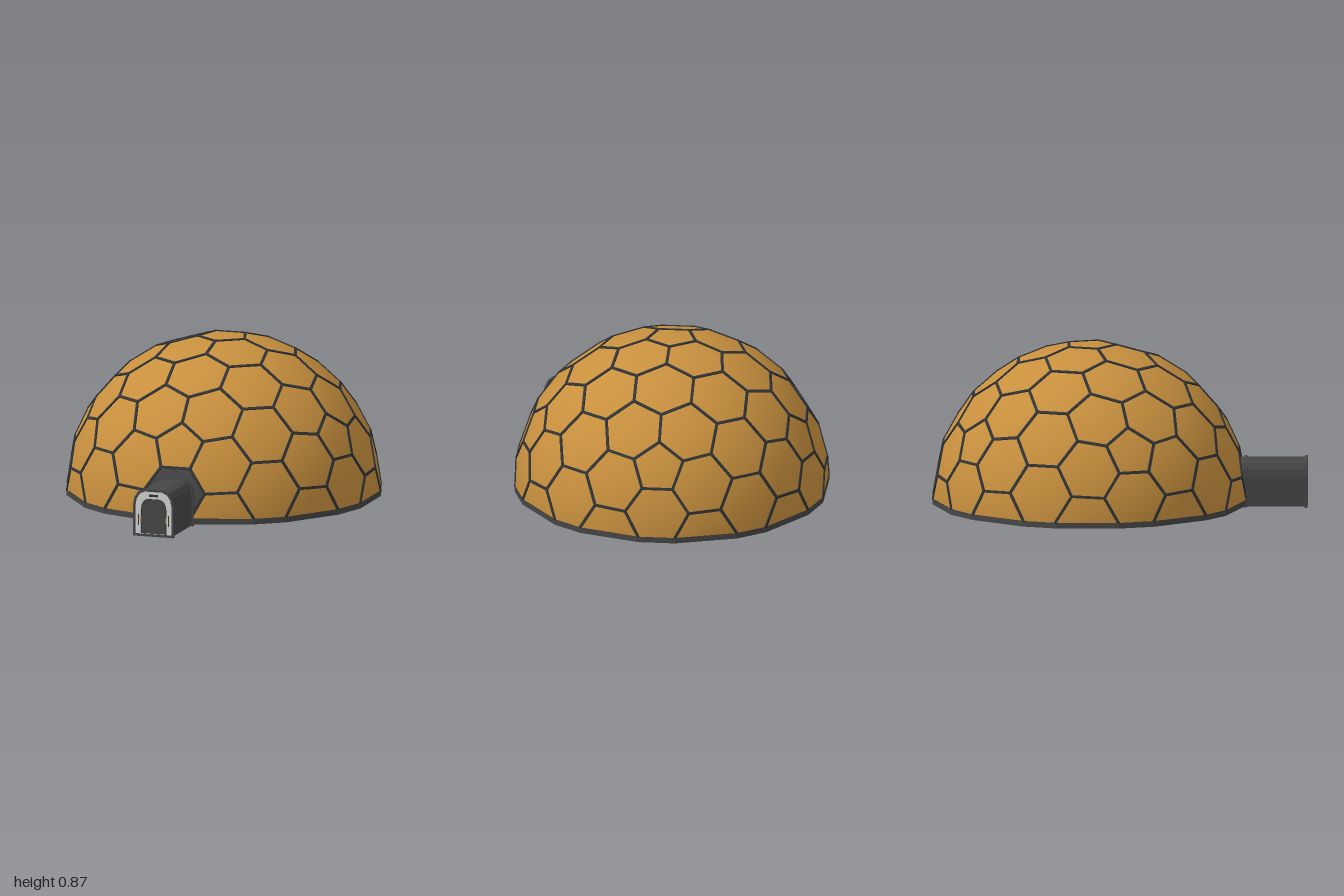
import * as THREE from 'three';
import { mergeGeometries, mergeVertices } from 'three/addons/utils/BufferGeometryUtils.js';

const R = 0.848;                                  // dome radius at the panel corners
const CENTER = new THREE.Vector3(0, 0.03, -0.17); // dome centre
const BASE = 0.04;                                // height where the dome is cut

const mat = (name, color) => Object.assign(new THREE.MeshStandardMaterial({ color }), { name });

// Corners and cells of a hexagon/pentagon sphere
function honeycomb() {
  let ico = new THREE.IcosahedronGeometry(1, 1);
  ico.deleteAttribute('normal');
  ico.deleteAttribute('uv');
  ico = mergeVertices(ico, 1e-3);
  ico.rotateZ(Math.atan(2 / (1 + Math.sqrt(5)))).rotateY(Math.PI / 2);
  const pos = ico.attributes.position, idx = ico.index.array;
  const cells = [];
  const addCell = dir => cells.push({ dir: dir.normalize(), corners: [] });
  for (let i = 0; i < pos.count; i++) addCell(new THREE.Vector3().fromBufferAttribute(pos, i));
  const edges = new Map();
  for (let f = 0; f < idx.length; f += 3) {
    const t = [idx[f], idx[f + 1], idx[f + 2]];
    const id = cells.length;
    addCell(t.reduce((s, v) => s.add(cells[v].dir), new THREE.Vector3()));
    t.forEach((a, k) => {
      const b = t[(k + 1) % 3], key = Math.min(a, b) + '_' + Math.max(a, b);
      if (!edges.has(key)) edges.set(key, { ends: [a, b], faces: [] });
      edges.get(key).faces.push(id);
    });
  }
  const corners = [];
  for (const { ends, faces } of edges.values()) {
    for (const e of ends) {
      const trio = [e, ...faces];
      const c = trio.reduce((s, v) => s.add(cells[v].dir), new THREE.Vector3());
      trio.forEach(v => cells[v].corners.push(corners.length));
      corners.push(c.normalize().multiplyScalar(R).add(CENTER));
    }
  }
  // Order the corners counter-clockwise around each cell
  for (const cell of cells) {
    const u = new THREE.Vector3(0.31, 0.52, 0.79).cross(cell.dir).normalize();
    const v = cell.dir.clone().cross(u);
    const angle = i => {
      const d = corners[i].clone().sub(CENTER);
      return Math.atan2(d.dot(v), d.dot(u));
    };
    cell.corners.sort((a, b) => angle(a) - angle(b));
  }
  return { cells, corners };
}

const atBase = (a, b) => a.clone().lerp(b, (BASE - a.y) / (b.y - a.y));

// Keep the part of a polygon above the base
function clip(poly, rim) {
  const out = [];
  poly.forEach((p, i) => {
    const q = poly[(i + 1) % poly.length];
    if (p.y >= BASE) out.push(p);
    if ((p.y >= BASE) !== (q.y >= BASE)) {
      const c = atBase(p, q);
      out.push(c);
      rim.push(c);
    }
  });
  return out;
}

// Fan panel with smooth dome normals
function panel(poly) {
  const mid = poly.reduce((s, p) => s.add(p), new THREE.Vector3()).divideScalar(poly.length);
  const pts = [], nor = [];
  poly.forEach((p, i) => {
    for (const q of [mid, p, poly[(i + 1) % poly.length]]) {
      pts.push(...q.toArray());
      nor.push(...q.clone().sub(CENTER).normalize().toArray());
    }
  });
  const g = new THREE.BufferGeometry();
  g.setAttribute('position', new THREE.Float32BufferAttribute(pts, 3));
  g.setAttribute('normal', new THREE.Float32BufferAttribute(nor, 3));
  return g;
}

// Bar along a panel edge, facing outwards
function strut(a, b) {
  const along = b.clone().sub(a), len = along.length();
  const mid = a.clone().add(b).multiplyScalar(0.5);
  const x = along.normalize();
  const out = mid.clone().sub(CENTER).normalize();
  const m = new THREE.Matrix4().makeBasis(x, out, x.clone().cross(out)).setPosition(mid);
  return new THREE.BoxGeometry(len + 0.008, 0.01, 0.015).applyMatrix4(m);
}

// Arched outline with a flat bottom
function archPoints(w, bottom, top) {
  const h = top - bottom;
  const half = [[w, bottom], [w, bottom + h * 0.66], [w * 0.93, bottom + h * 0.82],
    [w * 0.76, bottom + h * 0.94], [w * 0.48, top]];
  return [...half, ...half.slice().reverse().map(([x, y]) => [-x, y])]
    .map(([x, y]) => new THREE.Vector2(x, y));
}

function arch(outer, z, depth, hole) {
  const shape = new THREE.Shape(archPoints(...outer));
  if (hole) shape.holes.push(new THREE.Path(archPoints(...hole)));
  return new THREE.ExtrudeGeometry(shape, { depth, bevelEnabled: false }).translate(0, 0, z);
}

export function createModel() {
  const model = new THREE.Group();
  model.name = 'domeHabitat';
  const amber = mat('amber panel', 0xc8903e);
  const frame = mat('dark frame', 0x303336);
  const grey = mat('tunnel grey', 0x464646);
  const floor = mat('floor', 0x262626);
  const white = mat('door trim white', 0xd2d2d2);
  const gold = mat('lamp gold', 0xc8942e);
  const add = (parent, name, geometry, material) => {
    const mesh = new THREE.Mesh(geometry, material);
    mesh.name = name;
    parent.add(mesh);
    return mesh;
  };

  // Dome panels, with one grey panel around the entrance
  const dome = new THREE.Group();
  dome.name = 'dome';
  model.add(dome);
  const { cells, corners } = honeycomb();
  const entranceDir = new THREE.Vector3(0, 0.14, 0.99);
  const rim = [], panels = [], surround = [], struts = [];
  for (const { dir, corners: ids } of cells) {
    const poly = clip(ids.map(i => corners[i]), rim);
    if (poly.length >= 3) (dir.dot(entranceDir) > 0.985 ? surround : panels).push(panel(poly));
    ids.forEach((i, k) => {
      const j = ids[(k + 1) % ids.length];
      let a = corners[i], b = corners[j];
      if (i > j || Math.max(a.y, b.y) <= BASE) return;
      if (a.y < BASE) a = atBase(a, b);
      else if (b.y < BASE) b = atBase(b, a);
      struts.push(strut(a, b));
    });
  }
  add(dome, 'panels', mergeGeometries(panels), amber);
  if (surround.length) add(dome, 'entranceSurround', mergeGeometries(surround), grey);
  add(dome, 'struts', mergeGeometries(struts), frame);

  // Base ring and floor follow the cut edge of the dome
  const theta = p => Math.atan2(p.z - CENTER.z, p.x);
  const outline = rim.sort((a, b) => theta(a) - theta(b))
    .filter((p, i) => i === 0 || p.distanceTo(rim[i - 1]) > 0.005)
    .map(p => new THREE.Vector2(p.x * 1.004, -(CENTER.z + (p.z - CENTER.z) * 1.004)));
  const ring = new THREE.ExtrudeGeometry(new THREE.Shape(outline), { depth: 0.03, bevelEnabled: false });
  ring.rotateX(-Math.PI / 2).translate(0, 0.01, 0);
  add(dome, 'baseRing', ring, [floor, grey]);

  // Entrance tunnel with a flange at each end
  const entrance = new THREE.Group();
  entrance.name = 'entrance';
  model.add(entrance);
  add(entrance, 'tunnel', arch([0.107, 0.005, 0.25], 0.6, 0.388), grey);
  add(entrance, 'innerFlange', arch([0.115, 0, 0.258], 0.66, 0.016), grey);
  add(entrance, 'outerFlange', arch([0.115, 0, 0.258], 0.985, 0.015, [0.104, 0.012, 0.246]), grey);

  // Door, white trim and lamps
  add(entrance, 'doorTrim', arch([0.103, 0.013, 0.245], 0.988, 0.006, [0.074, 0.014, 0.205]), white);
  add(entrance, 'door', arch([0.068, 0.013, 0.2], 0.986, 0.005), grey);
  add(entrance, 'doorGap', arch([0.076, 0.013, 0.207], 0.985, 0.004), frame);
  add(entrance, 'trimSlot', new THREE.BoxGeometry(0.05, 0.012, 0.003).translate(0, 0.224, 0.9945), frame);
  for (const s of [-1, 1]) {
    add(entrance, 'sideSlot', new THREE.BoxGeometry(0.006, 0.06, 0.003).translate(s * 0.085, 0.09, 0.9945), frame);
    add(entrance, 'lamp', new THREE.BoxGeometry(0.006, 0.03, 0.004).translate(s * 0.072, 0.09, 0.9955), gold);
  }
  return model;
}
